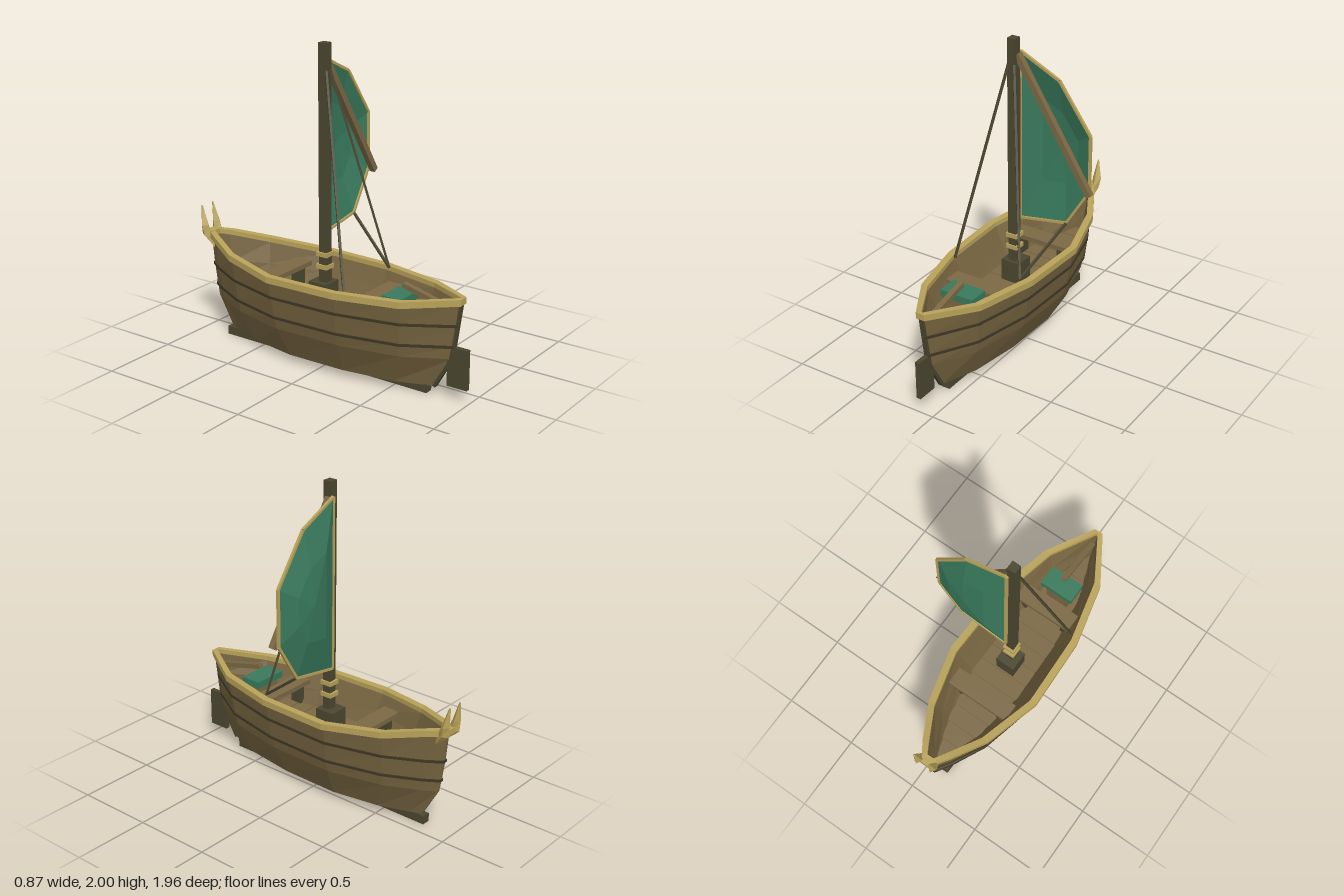
import * as THREE from 'three';

const mat = (name, color) => {
  const m = new THREE.MeshStandardMaterial({ color, flatShading: true });
  m.name = name;
  return m;
};

// Rail stations from stern to bow: z, half width, rail top height
const STATIONS = [
  [0.94, 0.03, 0.64], [0.64, 0.215, 0.615], [0.235, 0.31, 0.61], [-0.24, 0.325, 0.61],
  [-0.61, 0.225, 0.64], [-0.84, 0.1, 0.68], [-0.945, 0.03, 0.69],
];

// Closed loop around the boat; d insets it, drop is measured from the rail top when y is null
function ring(y, drop, sx, sz, d) {
  const side = STATIONS.map(([z, w, top], i) => {
    const end = i === 0 || i === STATIONS.length - 1;
    const zz = z * sz - (end ? Math.sign(z) * d * 0.5 : 0);
    return [Math.max(w * sx - d, 0.006), y === null ? top - drop : y, zz];
  });
  return [...side, ...side.slice().reverse().map(([x, h, z]) => [-x, h, z])];
}

function geometryFrom(pos) {
  const g = new THREE.BufferGeometry();
  g.setAttribute('position', new THREE.Float32BufferAttribute(pos.flat(), 3));
  g.computeVertexNormals();
  return g;
}

// Joins successive loops with quads
function loft(loops) {
  const pos = [];
  for (let i = 0; i < loops.length - 1; i++) {
    const L = loops[i], U = loops[i + 1], n = L.length;
    for (let j = 0; j < n; j++) {
      const k = (j + 1) % n;
      pos.push(L[j], L[k], U[k], L[j], U[k], U[j]);
    }
  }
  return geometryFrom(pos);
}

// Fills a boat-shaped loop, facing up or down
function cap(loop, up) {
  const pos = [], n = loop.length;
  for (let j = 0; j < n / 2 - 1; j++) {
    const [a, b, c, d] = [loop[j], loop[j + 1], loop[n - 2 - j], loop[n - 1 - j]];
    pos.push(...(up ? [a, b, c, a, c, d] : [a, c, b, a, d, c]));
  }
  return geometryFrom(pos);
}

// Half width of the rail at any z
function widthAt(z) {
  for (let i = 0; i < STATIONS.length - 1; i++) {
    const [z0, w0] = STATIONS[i], [z1, w1] = STATIONS[i + 1];
    if (z <= z0 && z >= z1) return w0 + (w1 - w0) * (z0 - z) / (z0 - z1);
  }
  return 0.03;
}

export function createModel() {
  const hullWood = mat('hull wood', 0x75633f);
  const plankWood = mat('plank wood', 0x7b6844);
  const darkWood = mat('dark wood', 0x4b4630);
  const strakeWood = mat('strake wood', 0x3d3624);
  const trim = mat('pale trim', 0xb8a259);
  const cloth = mat('green cloth', 0x38795c);
  cloth.side = THREE.DoubleSide;

  const model = new THREE.Group();
  const boat = new THREE.Group();
  boat.name = 'boat';
  boat.position.x = -0.11;
  model.add(boat);

  const add = (name, geo, material) => {
    const m = new THREE.Mesh(geo, material);
    m.name = name;
    boat.add(m);
    return m;
  };
  const box = (name, material, w, h, d, x, y, z) => {
    const m = add(name, new THREE.BoxGeometry(w, h, d), material);
    m.position.set(x, y, z);
    return m;
  };
  const beam = (name, material, a, b, w, h = w) => {
    const A = new THREE.Vector3(...a), B = new THREE.Vector3(...b);
    const m = new THREE.Mesh(new THREE.BoxGeometry(w, h, A.distanceTo(B)), material);
    m.name = name;
    m.position.copy(A).lerp(B, 0.5);
    m.lookAt(B);
    boat.add(m);
  };

  // Hull shell
  const bottom = ring(0.05, 0, 0.52, 0.825, 0.02);
  add('hull', loft([bottom, ring(0.25, 0, 0.81, 0.945, 0.02), ring(0.33, 0, 0.87, 0.96, 0.02),
    ring(0.465, 0, 0.94, 0.98, 0.02), ring(null, 0.03, 1, 1, 0.02)]), hullWood);
  add('hullBottom', cap(bottom, false), hullWood);

  // Inside walls and floor
  const FLOOR = 0.38;
  const floorLoop = ring(FLOOR, 0, 0.58, 0.92, 0.02);
  add('innerHull', loft([ring(null, 0.03, 1, 1, 0.045), ring(0.48, 0, 0.82, 0.96, 0.04), floorLoop]), hullWood);
  add('floor', cap(floorLoop, true), plankWood);
  for (let i = 0; i < 14; i++) {
    const z = -0.76 + i * 0.115;
    box('floorPlank', plankWood, 2 * (widthAt(z / 0.92) * 0.58 - 0.015), 0.012, 0.108, 0, FLOOR + 0.002, z);
  }

  // Rail and side strakes
  const rb = ring(null, 0.04, 1, 1, 0);
  add('rail', loft([rb, ring(null, 0, 1, 1, 0), ring(null, 0, 1, 1, 0.045), ring(null, 0.04, 1, 1, 0.045), rb]), trim);
  for (const [y, sx, sz] of [[0.33, 0.87, 0.96], [0.465, 0.94, 0.98]]) {
    const at = (dy, d) => ring(y + dy, 0, sx, sz, d);
    add('strake', loft([at(-0.008, 0.012), at(0.008, 0.012), at(0.008, 0.03), at(-0.008, 0.03), at(-0.008, 0.012)]), strakeWood);
  }

  // Keel, end posts, rudder and tiller
  box('keel', darkWood, 0.055, 0.055, 1.52, 0, 0.0275, -0.04);
  beam('sternPost', darkWood, [0, 0.05, 0.76], [0, 0.25, 0.875], 0.03, 0.02);
  beam('sternPost', darkWood, [0, 0.25, 0.875], [0, 0.6, 0.925], 0.03, 0.02);
  box('rudder', darkWood, 0.03, 0.25, 0.135, 0, 0.205, 0.917);
  beam('tiller', plankWood, [0, 0.635, 0.535], [0, 0.55, 0.88], 0.035, 0.03);

  // Benches with legs
  for (const [z, x] of [[-0.36, 0], [0.355, 0]]) {
    const w = z < 0 ? 0.43 : 0.4;
    box('bench', plankWood, w, 0.03, 0.12, x, 0.525, z);
    for (const s of [-1, 1]) box('benchLeg', darkWood, 0.035, 0.14, 0.08, s * 0.15, 0.445, z);
  }

  // Stern seat
  box('seatBase', plankWood, 0.16, 0.16, 0.1, 0, 0.46, 0.522);
  box('seatCushion', cloth, 0.23, 0.045, 0.135, 0, 0.562, 0.522);

  // Mast with foot block and collars
  box('mastFoot', darkWood, 0.13, 0.15, 0.13, 0, 0.455, -0.05);
  box('mast', darkWood, 0.055, 1.62, 0.055, 0, 1.19, -0.035);
  for (const y of [0.628, 0.707]) box('mastCollar', trim, 0.078, 0.027, 0.08, 0, y, -0.038);

  // Billowing sail: outline, half-way ring and centre
  const EDGE = -0.075;
  const outline = [[0.02, 1.91], [0.29, 1.78], [0.505, 1.48], [0.505, 1.12], [0.35, 0.87], [0.02, 0.815]];
  const center = [0.27, 1.33, -0.152];
  const outer = outline.map(([x, y]) => [x, y, EDGE]);
  const inner = outline.map(([x, y]) => [(x + center[0]) / 2, (y + center[1]) / 2, -0.13]);
  const sail = [];
  outer.forEach((p, i) => {
    const k = (i + 1) % outer.length;
    sail.push(p, outer[k], inner[k], p, inner[k], inner[i], inner[i], inner[k], center);
  });
  add('sail', geometryFrom(sail), cloth);
  outer.forEach((p, i) => beam('sailTrim', trim, p, outer[(i + 1) % outer.length], 0.016));
  beam('yard', plankWood, [0.02, 1.9, -0.045], [0.525, 1.11, -0.045], 0.038);

  // Rigging
  beam('shroud', darkWood, [-0.02, 1.84, -0.01], [-0.235, 0.61, 0.27], 0.014);
  beam('shroud', darkWood, [0.02, 1.84, -0.01], [0.24, 0.61, 0.27], 0.014);
  beam('sheet', darkWood, [0.35, 0.87, EDGE], [0.24, 0.61, 0.27], 0.014);

  // Bow cap and the pair of horns: centre x, y, z, half width, half depth
  box('bowCap', trim, 0.09, 0.035, 0.06, 0, 0.672, -0.925);
  const sections = [[0.04, 0.58, -0.875, 0.006, 0.008], [0.05, 0.66, -0.935, 0.026, 0.04],
    [0.055, 0.725, -0.95, 0.03, 0.028], [0.05, 0.85, -0.972, 0.003, 0.006]];
  for (const s of [-1, 1]) {
    const loops = sections.map(([x, y, z, w, d]) =>
      [[s * x, y, z + d], [s * x + w, y, z], [s * x, y, z - d], [s * x - w, y, z]]);
    add('bowHorn', loft(loops), trim);
  }
  return model;
}
